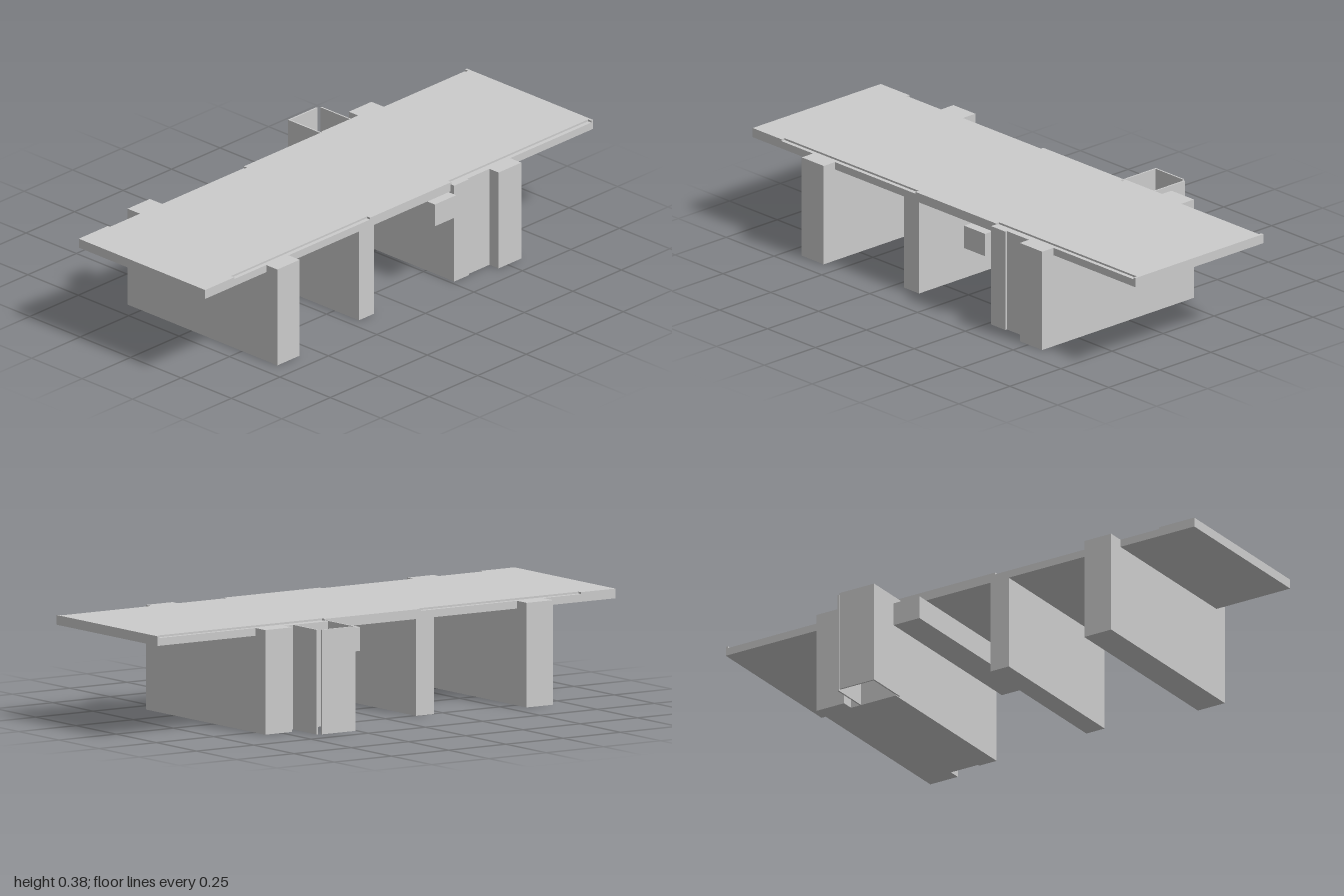
import * as THREE from 'three';

export function createModel() {
  const group = new THREE.Group();
  const material = new THREE.MeshStandardMaterial({ color: 0xcccccc, flatShading: true });

  // Box given by its minimum and maximum on each axis
  const box = (name, x0, x1, y0, y1, z0, z1) => {
    const mesh = new THREE.Mesh(new THREE.BoxGeometry(x1 - x0, y1 - y0, z1 - z0), material);
    mesh.name = name;
    mesh.position.set((x0 + x1) / 2, (y0 + y1) / 2, (z0 + z1) / 2);
    group.add(mesh);
  };

  const back = -0.257, front = 0.37, wallTop = 0.378, top = 0.385;

  // Deck, with a thin upper layer that is notched along both long edges
  box('deck', -1, 1, 0.35, wallTop, back, front);
  const notch = 0.016;
  const outline = new THREE.Shape();
  const edge = [
    [-1, 0], [-0.85, 0], [-0.85, notch], [-0.15, notch], [-0.15, 0],
    [0.27, 0], [0.27, notch], [0.99, notch], [0.99, 0], [1, 0],
  ];
  // Shape y becomes -z once the extrusion is laid flat
  outline.setFromPoints([
    ...edge.map(([x, d]) => new THREE.Vector2(x, -(front - d))),
    ...edge.slice().reverse().map(([x, d]) => new THREE.Vector2(x, -(back + d))),
  ]);
  const layer = new THREE.Mesh(
    new THREE.ExtrudeGeometry(outline, { depth: top - wallTop, bevelEnabled: false }), material);
  layer.name = 'deckTopLayer';
  layer.rotation.x = -Math.PI / 2;
  layer.position.y = wallTop;
  group.add(layer);

  // Supporting walls
  box('outerWallRight', -0.685, -0.57, 0, wallTop, -0.318, 0.425);
  box('middleWall', -0.208, -0.13, 0, 0.35, back, front);
  box('outerWallLeft', 0.455, 0.572, 0, wallTop, -0.318, 0.425);

  // Solid core beside the left wall, stepped at the front
  box('core', 0.265, 0.34, 0, wallTop, -0.272, 0.388);
  box('coreStep', 0.34, 0.455, 0, wallTop, -0.272, 0.38);

  // Cross beam under the deck
  box('crossBeam', 0.145, 0.255, 0.264, 0.35, -0.3, 0.407);

  // Open shaft behind the core, with a slit at one corner
  const t = 0.006;
  box('shaftBackWall', 0.255, 0.402, 0, wallTop, -0.428, -0.428 + t);
  box('shaftSideWallRight', 0.255, 0.255 + t, 0, wallTop, -0.428 + t, -0.257);
  box('shaftSideWallLeft', 0.412, 0.412 + t, 0, wallTop, -0.418, -0.272);

  return group;
}
